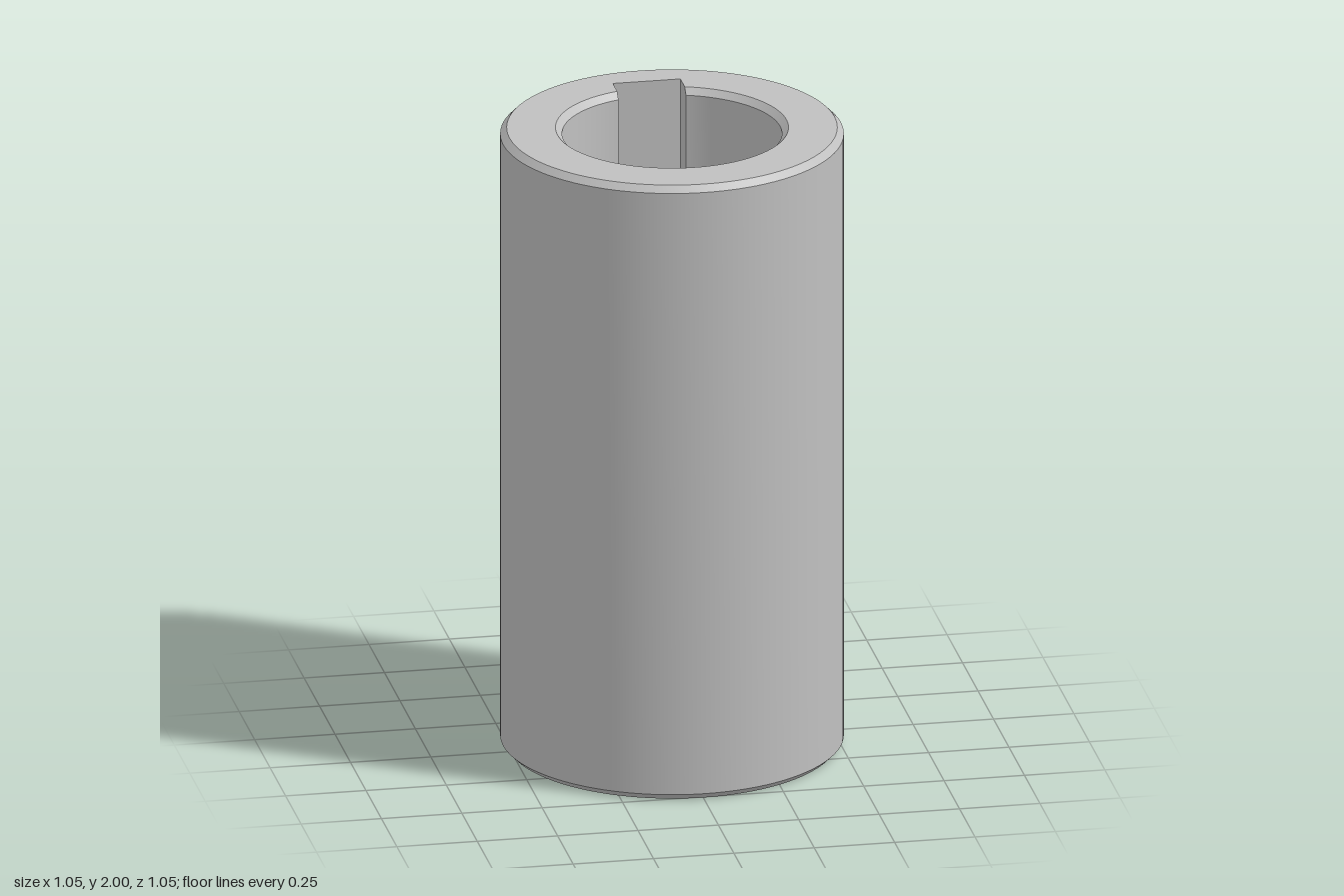
import * as THREE from 'three';
import { toCreasedNormals } from 'three/addons/utils/BufferGeometryUtils.js';

const SEG = 96;
const H = 2, OUTER = 0.525, BEVEL = 0.02;
const WEB_TOP = 1.05, WEB_BOTTOM = 0.95;

// Bore radius, keyway half width and keyway depth line
const upper = { r: 0.336, w: 0.105, tip: 0.41 };
const lower = { r: 0.257, w: 0.052, tip: 0.335 };
const web = { r: 0.217, w: 0.052, tip: 0.335 };

// Arc running counterclockwise from one side of the keyway to the other
function arc(r, w) {
  const a = Math.asin(w / r);
  return Array.from({ length: SEG + 1 }, (_, i) => {
    const t = Math.PI / 2 + a + (i / SEG) * (Math.PI * 2 - 2 * a);
    return new THREE.Vector2(r * Math.cos(t), r * Math.sin(t));
  });
}

// Closed bore outline with a rectangular keyway towards the back
function outline({ r, w, tip }, grow = 0) {
  return [...arc(r + grow, w), new THREE.Vector2(w, tip), new THREE.Vector2(-w, tip)];
}

function circle(r) {
  return Array.from({ length: SEG }, (_, i) => {
    const t = (i / SEG) * Math.PI * 2;
    return new THREE.Vector2(r * Math.cos(t), r * Math.sin(t));
  });
}

// Inward-facing wall through outlines listed from top to bottom
function boreWall(levels) {
  const pos = [];
  for (let k = 0; k < levels.length - 1; k++) {
    const [y0, a] = levels[k], [y1, b] = levels[k + 1];
    for (let i = 0; i < a.length; i++) {
      const j = (i + 1) % a.length;
      const p = [a[i].x, y0, -a[i].y], q = [a[j].x, y0, -a[j].y];
      const s = [b[i].x, y1, -b[i].y], t = [b[j].x, y1, -b[j].y];
      pos.push(...p, ...q, ...s, ...q, ...t, ...s);
    }
  }
  const g = new THREE.BufferGeometry();
  g.setAttribute('position', new THREE.Float32BufferAttribute(pos, 3));
  return toCreasedNormals(g, 0.5);
}

// Flat horizontal face at height y, facing up or down
function flatFace(contour, hole, y, up) {
  const shape = new THREE.Shape(contour);
  if (hole) shape.holes.push(new THREE.Path(hole));
  const g = new THREE.ShapeGeometry(shape).rotateX(-Math.PI / 2);
  if (!up) g.rotateZ(Math.PI);
  return g.translate(0, y, 0);
}

export function createModel() {
  const steel = new THREE.MeshStandardMaterial({ color: 0xc0c0c0 });
  steel.name = 'steel grey';
  const group = new THREE.Group();
  group.name = 'shaftCoupling';
  const add = (name, geometry) => {
    const mesh = new THREE.Mesh(geometry, steel);
    mesh.name = name;
    group.add(mesh);
  };

  // Outer cylinder with bevelled rims
  const profile = [[OUTER - BEVEL, 0], [OUTER, BEVEL], [OUTER, H - BEVEL], [OUTER - BEVEL, H]]
    .map(([x, y]) => new THREE.Vector2(x, y));
  add('outerSleeve', toCreasedNormals(new THREE.LatheGeometry(profile, SEG), 0.5));

  // End faces
  const rim = circle(OUTER - BEVEL);
  add('topFace', flatFace(rim, outline(upper, BEVEL), H, true));
  add('bottomFace', flatFace(rim, outline(lower, BEVEL), 0, false));

  // Keyed bores with bevelled mouths
  add('upperBore', boreWall([
    [H, outline(upper, BEVEL)], [H - BEVEL, outline(upper)], [WEB_TOP, outline(upper)],
  ]));
  add('lowerBore', boreWall([
    [WEB_BOTTOM, outline(lower)], [BEVEL, outline(lower)], [0, outline(lower, BEVEL)],
  ]));

  // Narrow stop between the two bores
  add('stopBore', boreWall([[WEB_TOP, outline(web)], [WEB_BOTTOM, outline(web)]]));
  add('stopTop', flatFace(outline(upper), outline(web), WEB_TOP, true));
  const cShape = [...arc(lower.r, lower.w), ...arc(web.r, web.w).reverse()];
  add('stopBottom', flatFace(cShape, null, WEB_BOTTOM, false));

  return group;
}
